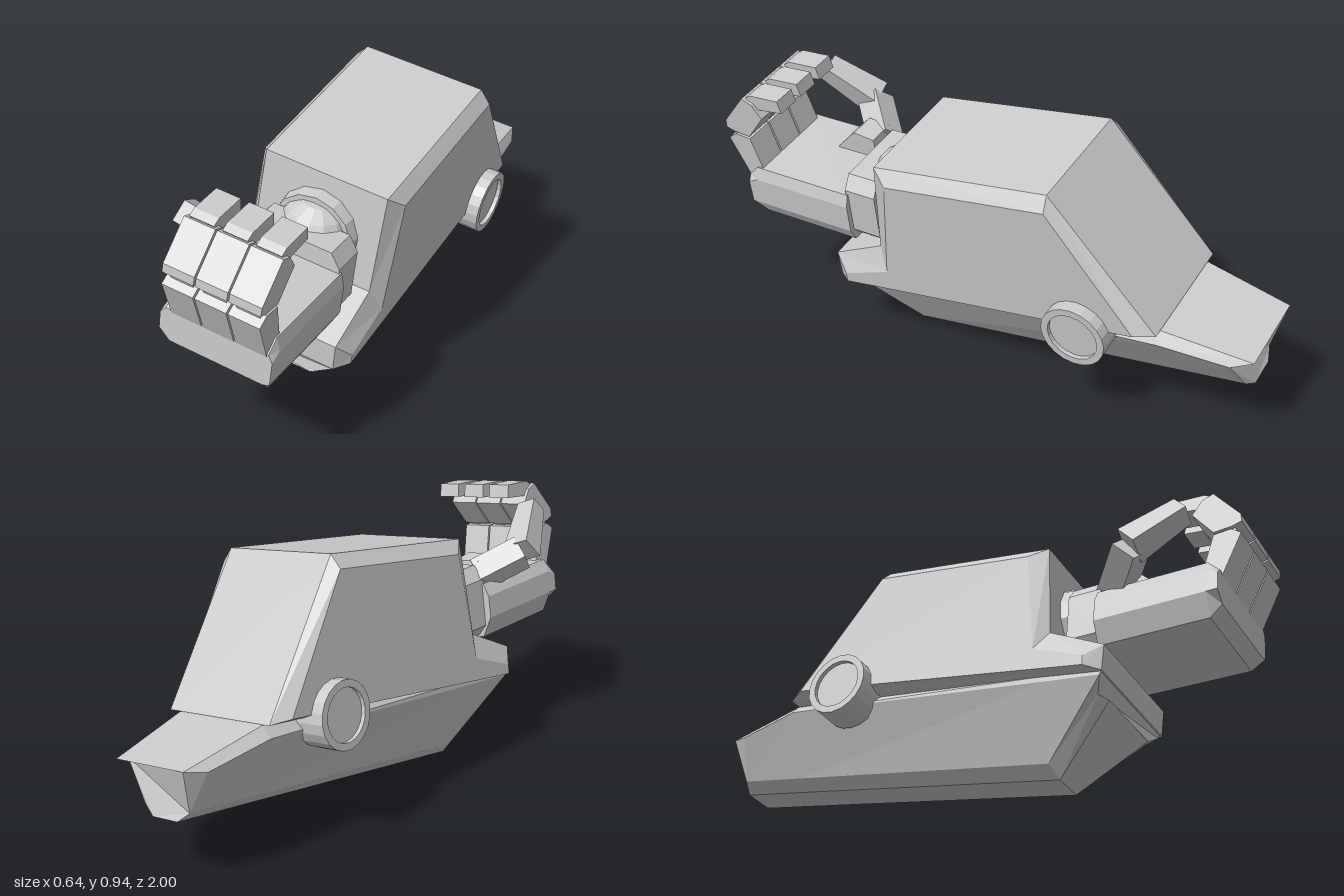
import * as THREE from 'three';

const mat = new THREE.MeshStandardMaterial({ color: 0xcccccc, flatShading: true });

function add(parent, geometry, name, x = 0, y = 0, z = 0) {
  const mesh = new THREE.Mesh(geometry, mat);
  mesh.name = name;
  mesh.position.set(x, y, z);
  parent.add(mesh);
  return mesh;
}

// Joins matching cross-sections (arrays of Vector3) into a closed solid; a and b are the axes of the section plane
function loft(sections, a, b) {
  const flat = s => s.map(p => new THREE.Vector2(p[a], p[b]));
  const rings = THREE.ShapeUtils.area(flat(sections[0])) < 0 ? sections.map(s => [...s].reverse()) : sections;
  const tris = [];
  const n = rings[0].length;
  for (let k = 0; k + 1 < rings.length; k++) {
    for (let i = 0; i < n; i++) {
      const j = (i + 1) % n, r = rings[k], t = rings[k + 1];
      tris.push([r[i], r[j], t[j]], [r[i], t[j], t[i]]);
    }
  }
  const first = rings[0], last = rings[rings.length - 1];
  for (const [i, j, k] of THREE.ShapeUtils.triangulateShape(flat(first), [])) tris.push([first[k], first[j], first[i]]);
  for (const [i, j, k] of THREE.ShapeUtils.triangulateShape(flat(last), [])) tris.push([last[i], last[j], last[k]]);
  // Turn the solid the right way out
  const cross = new THREE.Vector3();
  const volume = tris.reduce((v, [p, q, r]) => v + p.dot(cross.crossVectors(q, r)), 0);
  if (volume < 0) tris.forEach(t => t.reverse());
  const g = new THREE.BufferGeometry().setFromPoints(tris.flat());
  g.computeVertexNormals();
  return g;
}

// Side profile of [z, y] points placed at a given x
const sideSection = (x, profile) => profile.map(([z, y]) => new THREE.Vector3(x, y, z));
const prism = (profile, width) =>
  loft([sideSection(-width / 2, profile), sideSection(width / 2, profile)], 'z', 'y');

// Tapered square bar between two points
function bar(parent, name, from, to, r0, r1) {
  const p = new THREE.Vector3(...from), q = new THREE.Vector3(...to);
  const g = new THREE.CylinderGeometry(r1, r0, p.distanceTo(q), 4);
  g.rotateY(Math.PI / 4);
  const mesh = add(parent, g, name, ...p.clone().add(q).multiplyScalar(0.5).toArray());
  mesh.quaternion.setFromUnitVectors(new THREE.Vector3(0, 1, 0), q.sub(p).normalize());
}

export function createModel() {
  const model = new THREE.Group();
  model.name = 'roboticForearm';
  const roll = new THREE.Group();
  roll.name = 'rolledArm';
  roll.rotation.z = -0.148;
  model.add(roll);
  const arm = new THREE.Group();
  arm.name = 'arm';
  arm.position.x = -0.057;
  arm.rotation.y = 0.0225;
  roll.add(arm);

  // Upper forearm shell with bevelled sides
  const side = [[-0.335, 0.862], [0.27, 0.77], [0.315, 0.385], [0.5, 0.31], [0.5, 0.275], [-0.63, 0.46]];
  const rim = [[-0.33, 0.908], [0.33, 0.81], [0.355, 0.46], [0.555, 0.36], [0.55, 0.265], [-0.695, 0.455]];
  add(arm, loft([
    sideSection(-0.26, side), sideSection(-0.222, rim), sideSection(0.222, rim), sideSection(0.26, side),
  ], 'z', 'y'), 'upperShell');

  // Lower hull: half sections of [half width, y, z], mirrored
  const mirrored = half => [
    ...half.map(([w, y, z]) => new THREE.Vector3(w, y, z)),
    ...[...half].reverse().map(([w, y, z]) => new THREE.Vector3(-w, y, z)),
  ];
  add(arm, loft([
    [[0.215, 0.27, 0.545], [0.215, 0.255, 0.54], [0.172, 0.212, 0.515], [0.14, 0.203, 0.54]],
    [[0.215, 0.3, 0.33], [0.215, 0.28, 0.33], [0.1, 0.045, 0.31], [0.055, 0.005, 0.33]],
    [[0.185, 0.45, -0.69], [0.215, 0.41, -0.69], [0.1, 0.203, -0.69], [0.055, 0.17, -0.69]],
    [[0.15, 0.4, -1], [0.18, 0.38, -0.93], [0.1, 0.245, -0.955], [0.055, 0.215, -0.97]],
  ].map(mirrored), 'x', 'y'), 'lowerHull');

  // Round elbow pivots with a recessed face
  for (const s of [-1, 1]) {
    const profile = [[0, 0], [0.115, 0], [0.115, 0.115], [0.09, 0.115], [0.09, 0.1], [0, 0.1]]
      .map(([r, h]) => new THREE.Vector2(r, h));
    const pivot = add(arm, new THREE.LatheGeometry(profile, 20), s > 0 ? 'leftPivot' : 'rightPivot', s * 0.19, 0.417, -0.435);
    pivot.rotation.z = -s * Math.PI / 2;
  }

  // Wrist ball, collar and mounting plate
  add(arm, new THREE.SphereGeometry(0.14, 14, 8), 'wristBall', 0, 0.59, 0.35);
  const collar = add(arm, new THREE.CylinderGeometry(0.145, 0.155, 0.06, 14), 'wristCollar', 0, 0.6, 0.35);
  collar.rotation.x = Math.PI / 2;
  const plate = z => [[-0.175, 0.45], [-0.14, 0.41], [0.14, 0.41], [0.175, 0.45],
    [0.175, 0.62], [0.14, 0.67], [-0.14, 0.67], [-0.175, 0.62]].map(([x, y]) => new THREE.Vector3(x, y, z));
  add(arm, loft([plate(0.39), plate(0.51)], 'x', 'y'), 'wristPlate');

  const hand = new THREE.Group();
  hand.name = 'hand';
  arm.add(hand);

  // Palm block with a bevelled front edge
  const palm = (z, inset) => [[-0.18, 0.605 - inset], [0.18, 0.605 - inset], [0.195, 0.56 - inset / 2], [0.195, 0.455],
    [0.172, 0.405 + inset], [-0.161, 0.405 + inset], [-0.2, 0.48], [-0.2, 0.56 - inset / 2]]
    .map(([x, y]) => new THREE.Vector3(x, y, z));
  add(hand, loft([palm(0.5, 0), palm(0.89, 0), palm(0.93, 0.04)], 'x', 'y'), 'palm');

  // Three curled fingers, each of three segments
  const segments = {
    lowerSegment: [[0.86, 0.575], [0.93, 0.555], [0.995, 0.705], [0.96, 0.73], [0.9, 0.725]],
    middleSegment: [[0.9, 0.735], [0.965, 0.74], [0.997, 0.75], [0.995, 0.78], [0.9, 0.895], [0.86, 0.88], [0.825, 0.83]],
    fingertip: [[0.87, 0.855], [0.89, 0.895], [0.865, 0.91], [0.75, 0.917], [0.74, 0.87]],
  };
  [-0.107, 0.007, 0.121].forEach((x, i) => {
    const finger = new THREE.Group();
    finger.name = 'finger' + (i + 1);
    finger.position.x = x;
    hand.add(finger);
    for (const name in segments) add(finger, prism(segments[name], name === 'fingertip' ? 0.085 : 0.108), name);
    const knuckle = add(finger, new THREE.CylinderGeometry(0.03, 0.03, 0.08, 8), 'knuckle', 0, 0.73, 0.945);
    knuckle.rotation.z = Math.PI / 2;
  });

  // Thumb mount and two thumb segments
  add(hand, prism([[0.52, 0.59], [0.7, 0.59], [0.68, 0.62], [0.61, 0.69], [0.53, 0.68]], 0.1), 'thumbMount').position.x = -0.095;
  bar(hand, 'thumbBase', [-0.13, 0.625, 0.54], [-0.253, 0.69, 0.655], 0.065, 0.065);
  bar(hand, 'thumbTip', [-0.256, 0.695, 0.65], [-0.2, 0.825, 0.81], 0.068, 0.05);

  return model;
}
